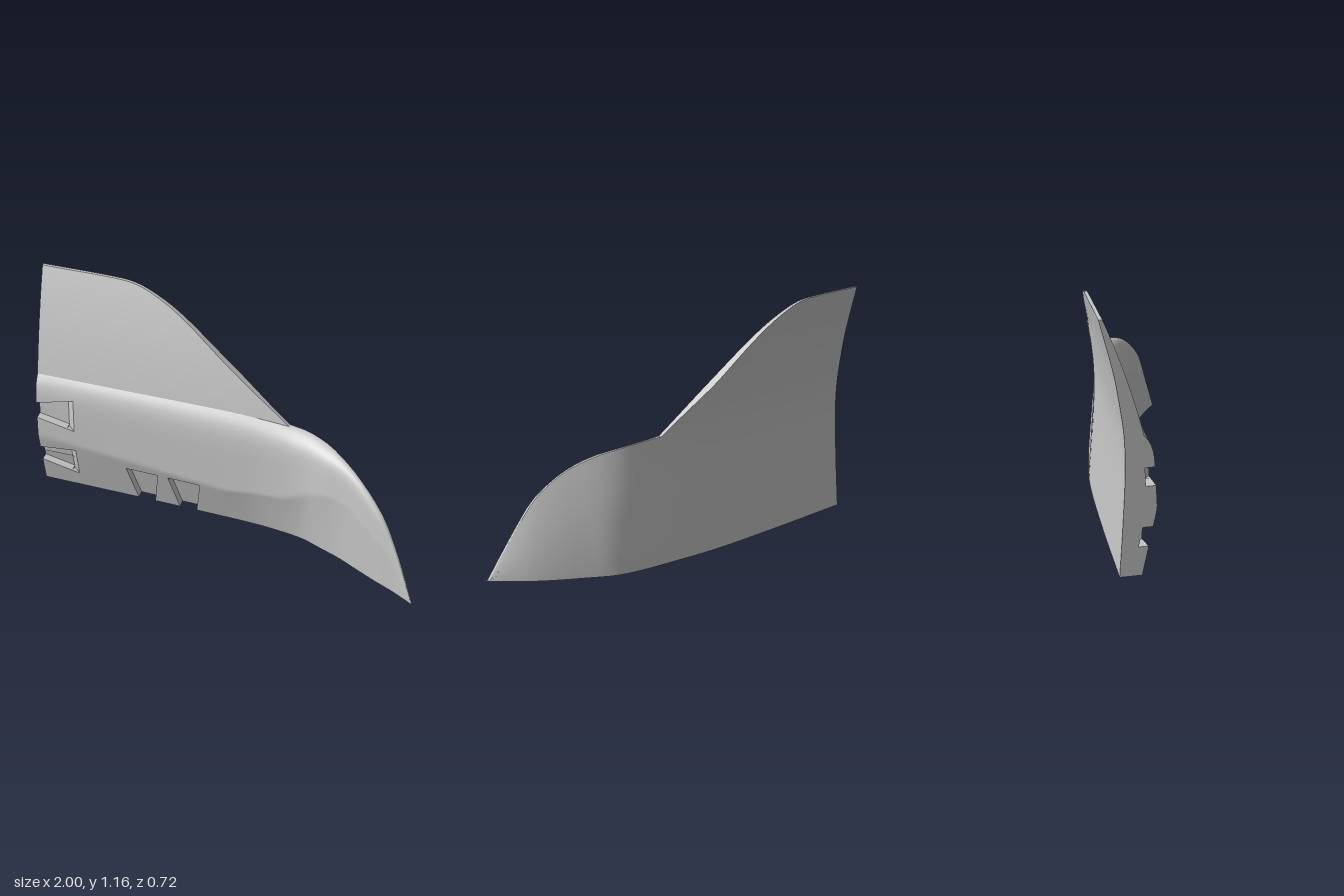
import * as THREE from 'three';
import { toCreasedNormals } from 'three/addons/utils/BufferGeometryUtils.js';

// Linear lookup in a table of [key, value] pairs
function linear(t, k) {
  if (k <= t[0][0]) return t[0][1];
  for (let i = 1; i < t.length; i++) {
    if (k <= t[i][0]) {
      return THREE.MathUtils.mapLinear(k, t[i - 1][0], t[i][0], t[i - 1][1], t[i][1]);
    }
  }
  return t[t.length - 1][1];
}

// Smooth (cubic) lookup in the same kind of table
function smooth(t, k) {
  const n = t.length - 1;
  let i = 0;
  while (i < n - 1 && k > t[i + 1][0]) i++;
  const slope = (j) => {
    const a = t[Math.max(j - 1, 0)], b = t[Math.min(j + 1, n)];
    return (b[1] - a[1]) / (b[0] - a[0]);
  };
  const h = t[i + 1][0] - t[i][0], s = THREE.MathUtils.clamp((k - t[i][0]) / h, 0, 1);
  const s2 = s * s, s3 = s2 * s;
  return (2 * s3 - 3 * s2 + 1) * t[i][1] + (s3 - 2 * s2 + s) * h * slope(i)
    + (3 * s2 - 2 * s3) * t[i + 1][1] + (s3 - s2) * h * slope(i + 1);
}

// Grid lines through every key, each span split into even steps no longer than max
function gridLines(keys, max) {
  const out = [keys[0]];
  for (let i = 1; i < keys.length; i++) {
    const a = keys[i - 1], b = keys[i], n = Math.ceil((b - a) / max - 1e-6);
    for (let j = 1; j < n; j++) out.push(a + (b - a) * j / n);
    out.push(b);
  }
  return out;
}

// Outline heights: ledge line and fin top
const LEDGE = [[-1, .645], [-.5, .634], [0, .622], [.3, .6], [.4, .592], [.5, .573], [.6, .543],
  [.7, .49], [.8, .4], [.85, .33], [.93, .165], [1, 0]];
const FIN_TOP = [[-1, 1.165], [-.6, 1.155], [-.5, 1.14], [-.4, 1.1], [-.3, 1.045], [-.2, .975], [0, .82], [.3, .6]];
// Depth lines: front bulge, ledge corner, back at the foot
const BULGE = [[-1, -.105], [-.5, -.065], [0, -.02], [.2, 0], [.4, .04], [.5, .08], [.6, .12],
  [.7, .18], [.8, .24], [.9, .295], [1, .36]];
const CORNER = [[-1, -.163], [-.5, -.133], [0, -.103], [.3, -.083], [.4, -.065], [.5, -.015], [.6, .062],
  [.7, .135], [.8, .205], [.9, .275], [1, .357]];
const BACK_FOOT = [[-1, -.27], [-.5, -.24], [0, -.198], [.3, -.145], [.4, -.125], [.5, -.1], [.6, -.06],
  [.7, .02], [.8, .105], [.9, .205], [1, .345]];
// Back: hollow curve by height, and how far the rim leans forward along x
const HOLLOW = [[0, 0], [.25, .015], [.5, .025], [.65, .02], [.77, .004], [.93, -.025], [1.165, -.086]];
const LEAN = [[-1, 0], [0, 0], [.3, .02], [.4, .024], [.5, .047], [.6, .083], [.7, .08], [.8, .07],
  [.9, .05], [1, .005]];
// Undercut below the bulge, and how high the bulge sits
const UNDERCUT = [[-1, .065], [0, .05], [.4, .035], [.6, .012], [1, 0]];
const BULGE_ROW = [[-1, .48], [0, .33], [.3, .4], [.5, .6], [.6, .65], [1, .6]];

// Slots: the grid is pinched so that its lines follow their tapering sides
const SLOT_TOP = .317, SLOT_END = -.8, DEPTH = .045;
const FOOT_SLOTS = [[-.53, -.36], [-.305, -.135]];
const END_SLOTS = [[.132, .395], [.581, .853]];
const PINCH_X = [[-.7, 0], [-.53, .05], [-.36, -.03], [-.305, .05], [-.135, -.03], [0, 0]];
const PINCH_Y = [[0, 0], [.132, .078], [.395, -.046], [.581, .062], [.853, -.078], [1, 0]];

function place(u, v) {
  const x = u + Math.max(0, 1 - v / SLOT_TOP) * linear(PINCH_X, u);
  const k = THREE.MathUtils.clamp((SLOT_END - u) / .2, 0, 1);
  const row = v + k * linear(PINCH_Y, v);
  return { x, row, y: row * smooth(LEDGE, x) };
}

function front(u, v) {
  const { x, y, row } = place(u, v);
  const b = linear(BULGE_ROW, x), bulge = smooth(BULGE, x), t = (row - b) / (1 - b);
  const z = t < 0
    ? bulge - linear(UNDERCUT, x) * (1 - row / b)
    : bulge - (bulge - smooth(CORNER, x)) * (.3 * t + .7 * Math.pow(t, 8));
  return [x, y, z];
}

// Slot floor, with sloping walls at the closed end
function floor(u, v) {
  const p = front(u, v);
  p[2] -= DEPTH;
  if (v === SLOT_TOP) p[1] -= .03;
  if (u === SLOT_END) p[0] -= .04;
  return p;
}

const backDepth = (x, y, row) => smooth(BACK_FOOT, x) + smooth(HOLLOW, y) + linear(LEAN, x) * row * row;

function back(u, v) {
  const { x, y, row } = place(u, v);
  return [x, y, backDepth(x, y, row)];
}

// Fin rows run from the ledge (s = 0) to the fin top (s = 1)
const finRise = (u, s) => (smooth(FIN_TOP, u) - smooth(LEDGE, u)) * s;

function finFront(u, s) {
  const h = finRise(u, s);
  return [u, smooth(LEDGE, u) + h, smooth(CORNER, u) - .25 * h - .17 * h * h];
}

function finBack(u, s) {
  const y = smooth(LEDGE, u) + finRise(u, s);
  return [u, y, backDepth(u, y, 1)];
}

const inside = (list, k) => list.some(([a, b]) => k > a && k < b);

export function createModel() {
  const group = new THREE.Group();
  const grey = new THREE.MeshStandardMaterial({ color: 0xc8c8c8 });
  grey.name = 'plain grey';

  const parts = { bodyFront: [], slots: [], backFace: [], finFront: [], edges: [] };
  const quad = (part, a, b, c, d) => parts[part].push(...a, ...b, ...c, ...a, ...c, ...d);

  const U = gridLines([-1, SLOT_END, -.7, -.53, -.36, -.305, -.135, 0, .3, .7, 1], .04);
  const V = gridLines([0, .132, SLOT_TOP, .395, .581, .853, 1], .025);
  const S = gridLines([0, 1], .06);
  const isSlot = (i, j) => {
    if (i < 0 || j < 0) return true; // slots run out through the foot and the end
    const u = (U[i] + U[i + 1]) / 2, v = (V[j] + V[j + 1]) / 2;
    return (v < SLOT_TOP && inside(FOOT_SLOTS, u)) || (u < SLOT_END && inside(END_SLOTS, v));
  };
  // Slot floors are flat between their own border lines, so only the corners of each slot lean
  for (let i = 0; i < U.length - 1; i++) {
    const a = U[i], b = U[i + 1];

    // Body: front with slots, and back
    for (let j = 0; j < V.length - 1; j++) {
      const c = V[j], d = V[j + 1], slot = isSlot(i, j), f = slot ? floor : front;
      quad(slot ? 'slots' : 'bodyFront', f(a, c), f(b, c), f(b, d), f(a, d));
      quad('backFace', back(b, c), back(a, c), back(a, d), back(b, d));
      if (slot) {
        if (!isSlot(i - 1, j)) quad('slots', front(a, c), floor(a, c), floor(a, d), front(a, d));
        if (!isSlot(i + 1, j)) quad('slots', floor(b, c), front(b, c), front(b, d), floor(b, d));
        if (!isSlot(i, j + 1)) quad('slots', floor(a, d), floor(b, d), front(b, d), front(a, d));
        if (!isSlot(i, j - 1)) quad('slots', front(a, c), front(b, c), floor(b, c), floor(a, c));
      }
      if (i === 0) quad('edges', back(a, c), f(a, c), f(a, d), back(a, d));
      if (j === 0) quad('edges', back(a, 0), back(b, 0), f(b, 0), f(a, 0));
    }

    // Fin above the ledge, or the bare rounded rim beyond its end
    if (b < .301) {
      for (let j = 0; j < S.length - 1; j++) {
        const c = S[j], d = S[j + 1];
        quad('finFront', finFront(a, c), finFront(b, c), finFront(b, d), finFront(a, d));
        quad('backFace', finBack(b, c), finBack(a, c), finBack(a, d), finBack(b, d));
        if (i === 0) quad('edges', finBack(a, c), finFront(a, c), finFront(a, d), finBack(a, d));
      }
      quad('edges', finFront(a, 1), finFront(b, 1), finBack(b, 1), finBack(a, 1));
    } else {
      quad('bodyFront', front(a, 1), front(b, 1), back(b, 1), back(a, 1));
    }
  }

  for (const [name, points] of Object.entries(parts)) {
    const geometry = new THREE.BufferGeometry();
    geometry.setAttribute('position', new THREE.Float32BufferAttribute(points, 3));
    const mesh = new THREE.Mesh(toCreasedNormals(geometry, name === 'bodyFront' ? .9 : .5), grey);
    mesh.name = name;
    group.add(mesh);
  }
  return group;
}
